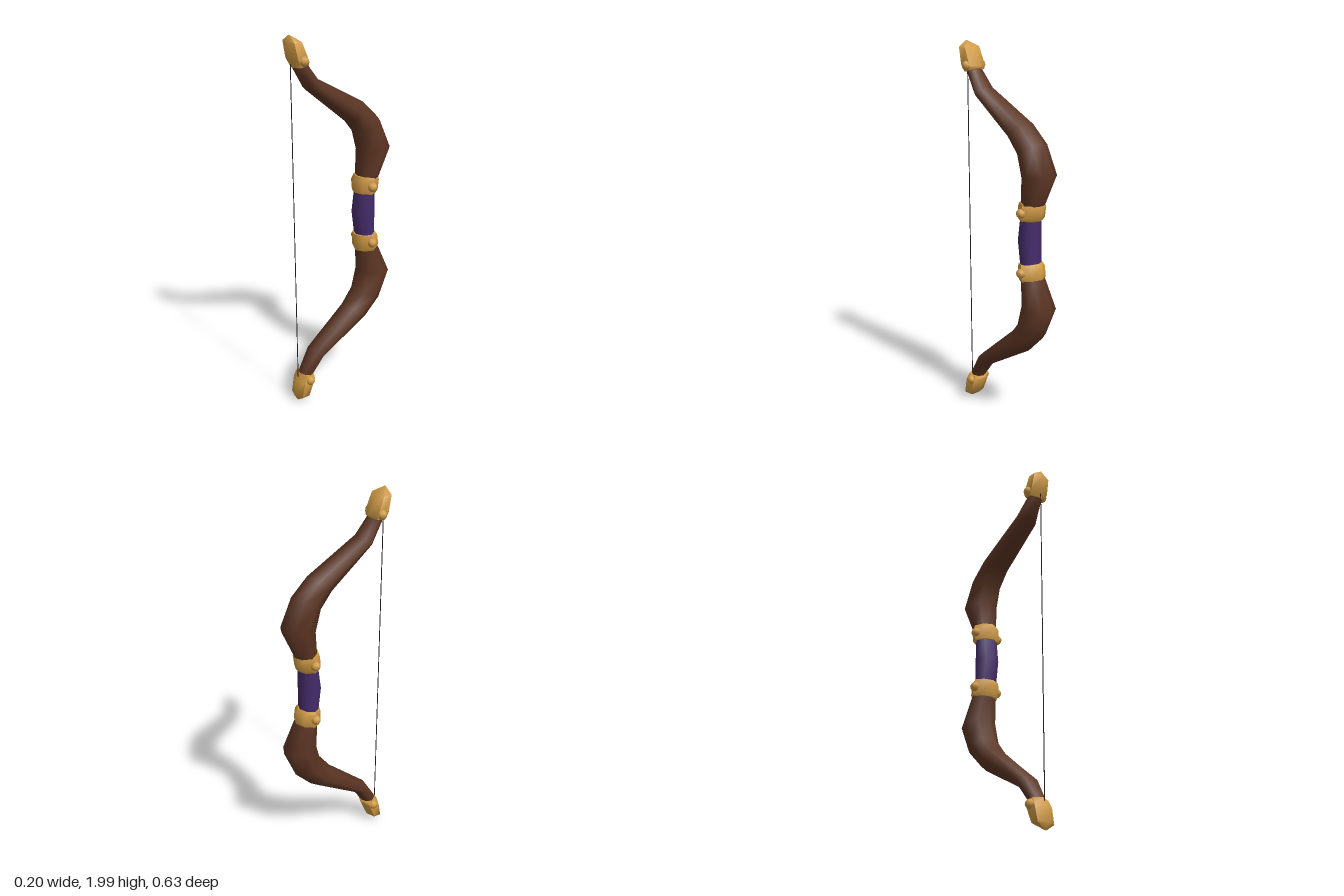
import * as THREE from 'three';
import { toCreasedNormals } from 'three/addons/utils/BufferGeometryUtils.js';

const MID = 1.003; // height about which the limbs mirror

// Cross-sections: first value scales the half width, second runs front (-1) to back (+1)
const OCTAGON = [[1, 0], [0.64, 0.7], [0, 1], [-0.64, 0.7], [-1, 0], [-0.64, -0.7], [0, -1], [0.64, -0.7]];
const HEXAGON = [[1, -0.55], [1, 0.55], [0, 1], [-1, 0.55], [-1, -0.55], [0, -1]];

// Rings run upwards; each is [front z, front y, back z, back y, half width]
function loft(rings, section, crease) {
  const n = section.length, pos = [], index = [];
  for (const [fz, fy, bz, by, w] of rings) {
    for (const [u, v] of section) {
      pos.push(u * w, (fy + by) / 2 + v * (by - fy) / 2, (fz + bz) / 2 + v * (bz - fz) / 2);
    }
  }
  for (let i = 0; i < rings.length - 1; i++) {
    for (let k = 0; k < n; k++) {
      const a = i * n + k, b = i * n + (k + 1) % n;
      index.push(a, b, b + n, a, b + n, a + n);
    }
  }
  // End faces
  const top = (rings.length - 1) * n;
  for (let k = 1; k < n - 1; k++) {
    index.push(0, k + 1, k, top, top + k, top + k + 1);
  }
  const geo = new THREE.BufferGeometry();
  geo.setAttribute('position', new THREE.Float32BufferAttribute(pos, 3));
  geo.setIndex(index);
  geo.computeVertexNormals();
  return toCreasedNormals(geo, crease);
}

const flip = (rings) => rings.map(([fz, fy, bz, by, w]) => [fz, 2 * MID - fy, bz, 2 * MID - by, w]).reverse();

const LIMB = [
  [-0.112, 1.15, -0.225, 1.15, 0.068],
  [-0.116, 1.21, -0.238, 1.20, 0.072],
  [-0.122, 1.34, -0.312, 1.36, 0.093],
  [-0.095, 1.447, -0.243, 1.516, 0.086],
  [-0.032, 1.527, -0.148, 1.61, 0.08],
  [0.20, 1.72, 0.138, 1.77, 0.067],
  [0.275, 1.84, 0.20, 1.86, 0.045],
  [0.285, 1.88, 0.215, 1.90, 0.04],
];
const CAP = [
  [0.277, 1.84, 0.197, 1.857, 0.05],
  [0.303, 1.885, 0.189, 1.868, 0.056],
  [0.313, 1.968, 0.233, 1.966, 0.052],
  [0.294, 2.0, 0.286, 1.998, 0.004],
];
const BAND = [
  [-0.100, 1.122, -0.220, 1.115, 0.072],
  [-0.096, 1.14, -0.232, 1.13, 0.08],
  [-0.098, 1.195, -0.241, 1.185, 0.08],
  [-0.106, 1.215, -0.236, 1.203, 0.073],
];
const GRIP = [
  [-0.112, 0.85, -0.214, 0.85, 0.066],
  [-0.108, 0.89, -0.213, 0.89, 0.066],
  [-0.09, 1.005, -0.217, 1.005, 0.066],
  [-0.108, 1.115, -0.213, 1.115, 0.066],
  [-0.112, 1.155, -0.214, 1.155, 0.066],
];

export function createModel() {
  const mat = (name, color) => {
    const m = new THREE.MeshStandardMaterial({ color });
    m.name = name;
    return m;
  };
  const wood = mat('brown wood', 0x5c3523);
  const gold = mat('gold', 0xcf9a45);
  const wrap = mat('purple wrap', 0x452c6a);
  const cord = mat('dark cord', 0x202020);

  const model = new THREE.Group();
  model.name = 'bow';
  // The whole bow leans very slightly forward
  const bow = new THREE.Group();
  bow.name = 'bowBody';
  bow.rotation.x = 0.007;
  bow.position.z = -0.0105;
  model.add(bow);

  const add = (name, geo, material) => {
    const mesh = new THREE.Mesh(geo, material);
    mesh.name = name;
    bow.add(mesh);
    return mesh;
  };

  add('grip', loft(GRIP, OCTAGON, 1.2), wrap);

  const rivetGeo = new THREE.SphereGeometry(0.026, 8, 6);
  for (const upper of [true, false]) {
    const side = upper ? 'upper' : 'lower';
    const place = (rings) => (upper ? rings : flip(rings));
    add(side + 'Limb', loft(place(LIMB), OCTAGON, 1.5), wood);
    add(side + 'TipCap', loft(place(CAP), HEXAGON, 1.15), gold);
    add(side + 'Band', loft(place(BAND), OCTAGON, 0.9), gold);

    // Rivets on both sides of the band and the tip cap
    for (const s of [1, -1]) {
      for (const [part, x, y, z] of [['Band', 0.073, 1.161, -0.16], ['Cap', 0.05, 1.875, 0.242]]) {
        const rivet = add(side + part + 'Rivet', rivetGeo, gold);
        rivet.position.set(s * x, upper ? y : 2 * MID - y, z);
      }
    }
  }

  // Bowstring between the tip caps
  const string = add('bowstring', new THREE.CylinderGeometry(0.0025, 0.0025, 1.74, 6), cord);
  string.position.set(0, MID, 0.287);

  return model;
}
